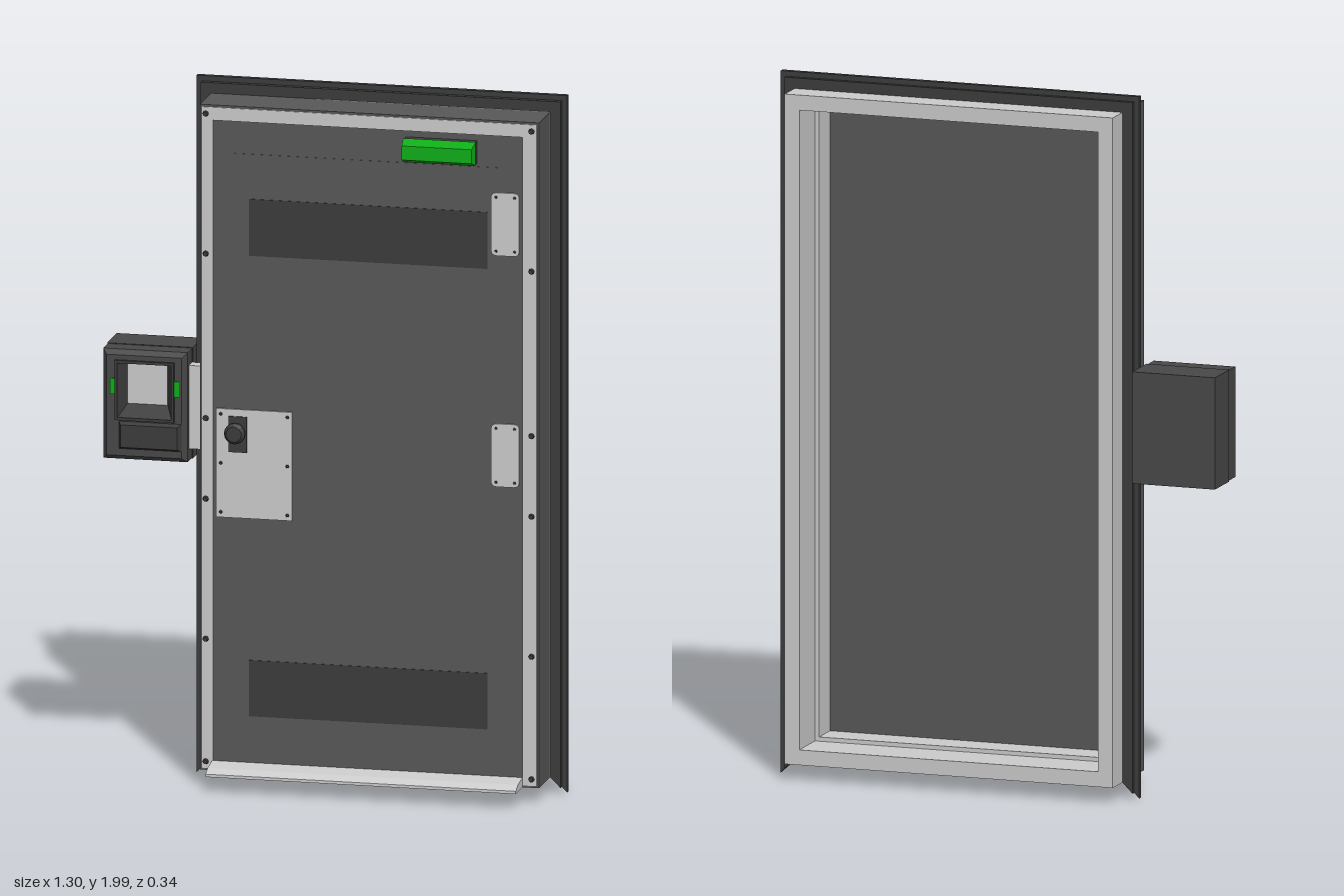
import * as THREE from 'three';

const mat = (color) => new THREE.MeshStandardMaterial({ color, side: THREE.DoubleSide, flatShading: true });

// Rectangles are [x0, y0, x1, y1]
const corners = ([x0, y0, x1, y1]) => [[x0, y0], [x1, y0], [x1, y1], [x0, y1]];
const polygon = (pts) => new THREE.Shape(pts.map(([x, y]) => new THREE.Vector2(x, y)));

function extrude(shape, z0, z1) {
  const g = new THREE.ExtrudeGeometry(shape, { depth: z1 - z0, bevelEnabled: false, curveSegments: 5 });
  return g.translate(0, 0, z0);
}

function ring(outer, inner, z0, z1) {
  const s = polygon(corners(outer));
  s.holes.push(polygon(corners(inner).reverse()));
  return extrude(s, z0, z1);
}

function block([x0, y0, x1, y1], z0, z1) {
  return new THREE.BoxGeometry(x1 - x0, y1 - y0, z1 - z0).translate((x0 + x1) / 2, (y0 + y1) / 2, (z0 + z1) / 2);
}

// Tapered four-sided tube between two rectangles, optionally capped in front
function loft(r0, z0, r1, z1, cap = false) {
  const a = corners(r0).map((p) => [...p, z0]);
  const b = corners(r1).map((p) => [...p, z1]);
  const v = [];
  const quad = (p, q, r, s) => v.push(...p, ...q, ...r, ...p, ...r, ...s);
  for (let i = 0; i < 4; i++) quad(a[i], a[(i + 1) % 4], b[(i + 1) % 4], b[i]);
  if (cap) quad(...b);
  const g = new THREE.BufferGeometry();
  g.setAttribute('position', new THREE.Float32BufferAttribute(v, 3));
  g.computeVertexNormals();
  return g;
}

function roundedPlate([x0, y0, x1, y1], r, z0, z1) {
  const s = new THREE.Shape();
  s.moveTo(x0 + r, y0).lineTo(x1 - r, y0).quadraticCurveTo(x1, y0, x1, y0 + r)
    .lineTo(x1, y1 - r).quadraticCurveTo(x1, y1, x1 - r, y1)
    .lineTo(x0 + r, y1).quadraticCurveTo(x0, y1, x0, y1 - r)
    .lineTo(x0, y0 + r).quadraticCurveTo(x0, y0, x0 + r, y0);
  return extrude(s, z0, z1);
}

const grow = ([x0, y0, x1, y1], d) => [x0 - d, y0 - d, x1 + d, y1 + d];

export function createModel() {
  const model = new THREE.Group();
  const grey = mat(0xcccccc), dark = mat(0x585858), black = mat(0x3c3c3c);
  const boxDark = mat(0x484848), green = mat(0x0fae18);
  const add = (name, geometry, material, parent = model) => {
    const m = new THREE.Mesh(geometry, material);
    m.name = name;
    parent.add(m);
    return m;
  };
  const group = (name) => {
    const g = new THREE.Group();
    g.name = name;
    model.add(g);
    return g;
  };

  // Door frame: light jamb with a stop, dark casing round its front half
  const outer = [-0.36, 0.055, 0.607, 1.955];
  const opening = [-0.322, 0.078, 0.56, 1.912];
  const frame = group('frame');
  add('rearJamb', ring(outer, [-0.317, 0.098, 0.564, 1.912], -0.17, -0.04), grey, frame);
  add('doorStop', ring(grow(outer, -0.008), [-0.305, 0.11, 0.552, 1.9], -0.04, 0.05), grey, frame);
  add('frontJamb', ring(grow(outer, -0.006), opening, 0.05, 0.092), grey, frame);
  add('casing', ring(outer, grow(outer, -0.008), -0.05, 0.089), dark, frame);

  // Wall flange: three sides, mitred at the open bottom
  const flangeShape = (d) => {
    const [x0, y0, x1, y1] = outer;
    return polygon([[x0, y0], [x0 - d, y0 - d], [x0 - d, y1 + d], [x1 + d, y1 + d], [x1 + d, y0 - d], [x1, y0], [x1, y1], [x0, y1]]);
  };
  const flange = group('flange');
  add('flangePlate', extrude(flangeShape(0.045), -0.077, -0.061), black, flange);
  add('flangeFrontStrip', extrude(flangeShape(0.03), -0.061, -0.045), black, flange);
  add('flangeBackStrip', extrude(flangeShape(0.03), -0.09, -0.077), black, flange);

  // Door leaf with a faint raised skin and two dark panels
  const door = group('door');
  add('doorLeaf', block(opening, 0.05, 0.087), dark, door);
  add('doorSkin', block([-0.262, 0.1, 0.505, 1.82], 0.087, 0.0885), dark, door);
  for (const [y0, y1] of [[0.215, 0.375], [1.53, 1.692]])
    add('doorPanel', block([-0.22, y0, 0.46, y1], 0.088, 0.0905), black, door);

  // Hinge plates with screws
  const screw = (x, y, z, r, h, parent) => add('screw',
    new THREE.CylinderGeometry(r * 0.7, r, h, 8).rotateX(Math.PI / 2).translate(x, y, z + h / 2), black, parent);
  for (const y of [1.0, 1.66]) {
    add('hingePlate', roundedPlate([0.471, y - 0.09, 0.551, y + 0.09], 0.016, 0.087, 0.093), grey, door);
    for (const dx of [0.485, 0.538]) for (const dy of [-0.077, 0.077]) screw(dx, y + dy, 0.093, 0.004, 0.002, door);
  }

  // Lock plate and flared knob
  const lock = group('lock');
  add('lockPlate', block([-0.314, 0.78, -0.096, 1.09], 0.087, 0.093), grey, lock);
  for (const x of [-0.3, -0.11]) for (const y of [0.795, 0.935, 1.075]) screw(x, y, 0.093, 0.005, 0.002, lock);
  add('knobPlate', block([-0.277, 0.968, -0.225, 1.07], 0.092, 0.097), black, lock);
  const profile = [[0.013, 0], [0.013, 0.012], [0.03, 0.03], [0.03, 0.04], [0.022, 0.05], [0, 0.05]];
  add('knob', new THREE.LatheGeometry(profile.map(([r, h]) => new THREE.Vector2(r, h)), 16)
    .rotateX(Math.PI / 2).translate(-0.251, 1.03, 0.095), black, lock);

  // Indicator lamp
  const lamp = group('indicatorLamp');
  add('lampBase', block([0.227, 1.83, 0.43, 1.894], 0.087, 0.116), black, lamp);
  add('lampLens', loft([0.225, 1.828, 0.432, 1.896], 0.113, [0.229, 1.842, 0.428, 1.882], 0.147, true), green, lamp);

  // Frame bolts
  for (const x of [-0.343, 0.586]) for (const y of [0.08, 0.43, 0.83, 1.06, 1.53, 1.93])
    screw(x, y, 0.09, 0.009, 0.011, frame);

  // Sloped threshold, extruded across the doorway
  const sill = polygon([[-0.09, 0.055], [-0.172, 0.055], [-0.172, 0.063], [-0.145, 0.075], [-0.09, 0.083]]);
  add('threshold', extrude(sill, -0.325, 0.56).rotateY(Math.PI / 2), grey);

  // Control box beside the frame
  const control = group('controlBox');
  const body = [-0.65, 0.915, -0.406, 1.232];
  const hole = [-0.603, 1.04, -0.45, 1.195];
  const screen = [-0.585, 1.07, -0.471, 1.183];
  add('boxRear', block(body, -0.137, -0.02), boxDark, control);
  add('boxFront', ring(grow(body, -0.002), hole, -0.02, 0.035), boxDark, control);
  const face = grow(body, -0.015);
  add('boxChamfer', loft(grow(body, -0.002), 0.035, face, 0.052), boxDark, control);
  add('boxFace', ring(face, hole, 0.035, 0.052), boxDark, control);
  add('screenSurround', loft(screen, 0.008, hole, 0.052), black, control);
  add('screen', block(screen, -0.02, 0.01), grey, control);
  add('screenBezel', ring(grow(hole, 0.008), hole, 0.05, 0.06), black, control);
  add('lowerCover', loft([-0.6, 0.95, -0.422, 1.028], 0.052, [-0.592, 0.957, -0.43, 1.021], 0.067, true), black, control);
  for (const x of [-0.617, -0.436])
    add('statusLight', block([x - 0.008, 1.105, x + 0.008, 1.15], 0.05, 0.056), green, control);

  // Bracket joining the box to the frame
  add('bracket', block([-0.41, 0.952, -0.355, 1.19], -0.02, 0.02), grey, control);

  return model;
}
